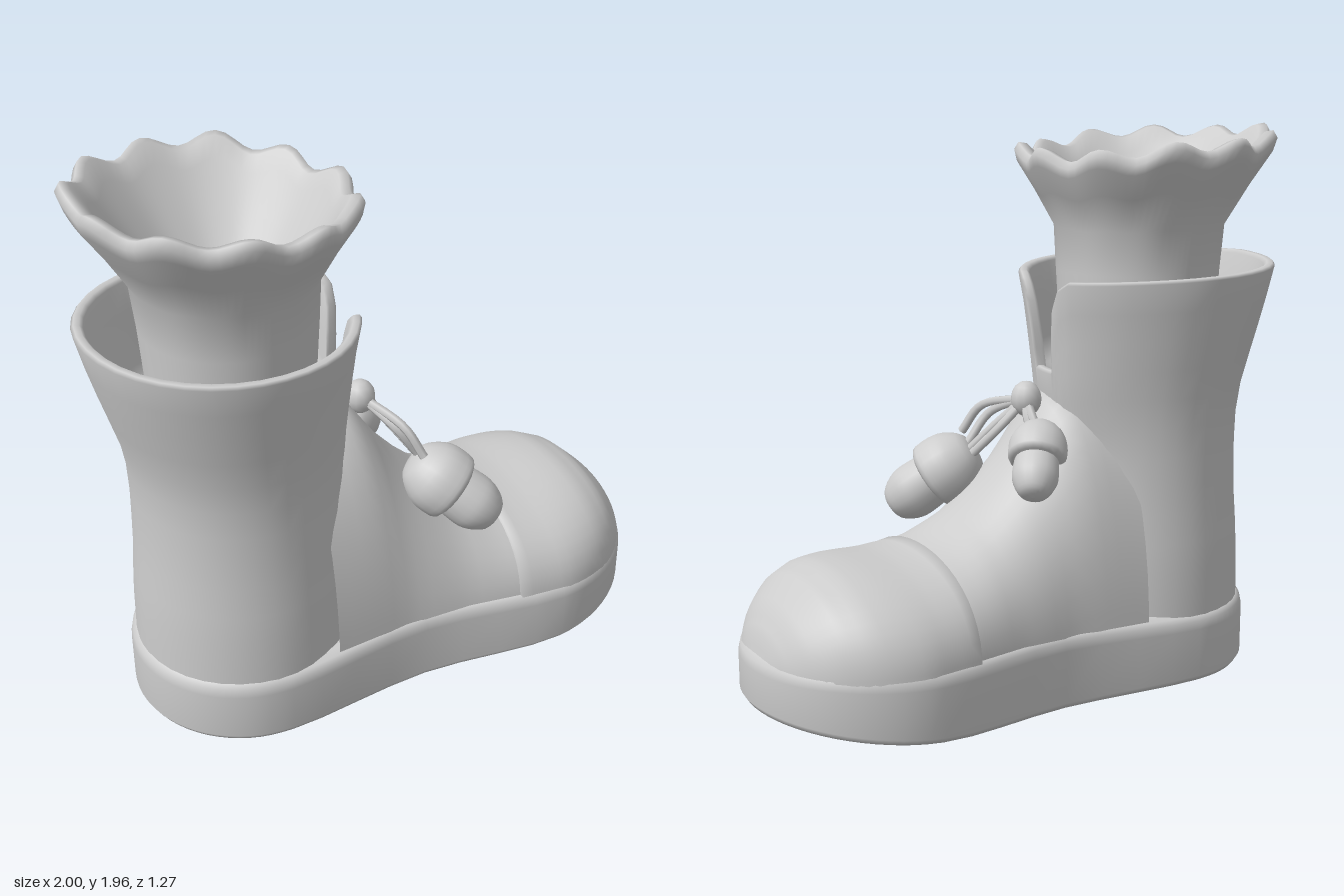
import * as THREE from 'three';

const clay = new THREE.MeshStandardMaterial({ color: 0xcccccc, side: THREE.DoubleSide });
clay.name = 'pale grey clay';

const V = (x, y, z) => new THREE.Vector3(x, y, z);
const range = (n, f) => Array.from({ length: n }, (_, i) => f(i));

// Piecewise linear lookup in a short [x, value] table
function at(table, x) {
  if (x <= table[0][0]) return table[0][1];
  for (let i = 1; i < table.length; i++) {
    const [x0, v0] = table[i - 1], [x1, v1] = table[i];
    if (x <= x1) return v0 + (v1 - v0) * (x - x0) / (x1 - x0);
  }
  return table[table.length - 1][1];
}

// Smooth skin over a list of cross-sections
function loft(name, rings, closed = true) {
  const n = rings[0].length, index = [];
  const geo = new THREE.BufferGeometry().setFromPoints(rings.flat());
  for (let r = 0; r < rings.length - 1; r++) {
    for (let i = 0; i < (closed ? n : n - 1); i++) {
      const a = r * n + i, c = r * n + (i + 1) % n;
      index.push(a, a + n, c, c, a + n, c + n);
    }
  }
  geo.setIndex(index);
  geo.computeVertexNormals();
  return mesh(name, geo);
}

function mesh(name, geo) {
  const m = new THREE.Mesh(geo, clay);
  m.name = name;
  return m;
}

// Sole: round heel, pinched waist, wide round toe that lifts off the ground
function makeSole() {
  const pts = [];
  const arc = (cx, r, from, to, n) => range(n, i => {
    const a = from + (to - from) * i / (n - 1);
    pts.push(V(cx + r * Math.cos(a), 0, r * Math.sin(a)));
  });
  const H = Math.PI / 2;
  arc(1.08, 0.47, 0, H, 5);
  pts.push(V(0.55, 0, 0.375));
  arc(0, 0.41, H, 3 * H, 9);
  pts.push(V(0.55, 0, -0.375));
  arc(1.08, 0.47, -H, -H / 4, 4);
  const outline = new THREE.CatmullRomCurve3(pts, true).getPoints(80).slice(0, -1);
  const bottom = u => 0.1 * Math.pow(Math.max(0, u - 0.3) / 1.25, 2);
  const top = u => 0.225 + 0.045 * THREE.MathUtils.clamp(u / 1.4, 0, 1);
  const ring = (inset, height) => outline.map(p => {
    const c = THREE.MathUtils.clamp(p.x, 0, 1.08);
    const u = p.x + (c - p.x) * inset;
    return V(u, height(u), p.z * (1 - inset));
  });
  return loft('sole', [
    ring(1, bottom), ring(0.5, bottom), ring(0.03, bottom),
    ring(0, u => bottom(u) + 0.02), ring(0, u => top(u) - 0.03),
    ring(0.015, top), ring(0.05, u => top(u) + 0.015), ring(0.12, u => top(u) + 0.025), ring(1, top),
  ]);
}

// Foot: arched sections along the boot's length
const footTop = [[0.2, 1.06], [0.38, 1.06], [0.43, 1.01], [0.475, 0.94], [0.53, 0.86], [0.63, 0.75],
  [0.74, 0.65], [0.86, 0.58], [0.95, 0.55], [1.05, 0.54], [1.2, 0.545], [1.28, 0.54], [1.375, 0.505],
  [1.46, 0.425], [1.51, 0.34], [1.54, 0.23]];
const footWidth = [[0.2, 0.375], [0.5, 0.36], [0.72, 0.385], [0.95, 0.435], [1.1, 0.455]];

function makeFoot(name, from, to, count, grow) {
  const rings = range(count, i => {
    const u = from + (to - from) * Math.sin(i / (count - 1) * Math.PI / 2);
    const w = u < 1.1 ? at(footWidth, u) : 0.455 * Math.sqrt(Math.max(0, 1 - ((u - 1.1) / 0.44) ** 2));
    const h = at(footTop, u) - 0.2 + grow;
    const p = 1 - 0.27 * THREE.MathUtils.smoothstep(u, 0.6, 1);
    return range(25, j => {
      const a = Math.PI * j / 24;
      return V(u, 0.2 + h * Math.pow(Math.max(0, Math.sin(a)), p), (w + grow) * Math.cos(a));
    });
  });
  if (name === 'toeCap') {           // folded back edge
    rings.unshift(rings[0].map(v => V(v.x - 0.01, 0.2 + (v.y - 0.2) * 0.93, v.z * 0.96)));
  }
  return loft(name, rings, false);
}

// Shaft: flared double wall with a rounded front slit
function makeShaft() {
  const slit = [[0.16, 1.12], [0.18, 1.25], [0.215, 1.35], [0.28, 1.415], [0.38, 1.445], [1.5, 1.465], [Math.PI, 1.49]];
  const half = [0.08, 0.145, 0.16, 0.17, 0.18, 0.195, 0.215, 0.245, 0.28, 0.33, 0.38,
    ...range(16, i => 0.49 + i * 0.17)];
  const angles = [0, ...half, Math.PI, ...half.slice().reverse().map(a => -a)];
  const radius = [[0.2, 0.39], [0.45, 0.385], [0.65, 0.37], [0.9, 0.365], [1.05, 0.38], [1.2, 0.41], [1.35, 0.44], [1.48, 0.468]];
  const ring = (height, inset) => angles.map(a => {
    const y = height(at(slit, Math.abs(a)));
    const bulge = 0.045 * Math.pow(Math.max(0, Math.cos(a + 0.3)), 8) * THREE.MathUtils.smoothstep(y, 0.7, 1.1);
    const r = at(radius, y) + bulge - inset;
    const shift = -0.035 * THREE.MathUtils.smoothstep(y, 0.9, 1.45);
    return V(shift + r * Math.cos(a), y, r * Math.sin(a));
  });
  return loft('shaft', [
    ...range(13, i => ring(t => 0.2 + (t - 0.21) * i / 12, 0)),
    ring(t => t, 0.01), ring(t => t, 0.03),
    ...range(5, i => ring(t => t - 0.012 - (t - 1.1) * i / 4, 0.04)),
    ring(() => 1.08, 0.16),
  ]);
}

// Sock: straight tube opening into a scalloped frill with a funnel inside
function makeSock() {
  const profile = [[0.27, 1.05, 0], [0.295, 1.45, 0], [0.305, 1.61, 0.15], [0.38, 1.74, 0.5], [0.445, 1.84, 0.85],
    [0.455, 1.88, 1], [0.44, 1.905, 1], [0.41, 1.9, 1], [0.37, 1.84, 0.8],
    [0.27, 1.7, 0.5], [0.14, 1.53, 0.2], [0.001, 1.36, 0]];
  return loft('sock', profile.map(([r, y, f]) => range(88, i => {
    const a = i / 88 * Math.PI * 2;
    const s = Math.cos(11 * a) + 0.35 * Math.sin(4 * a);
    const R = r + 0.013 * f * s;
    return V(-0.03 * f + R * Math.cos(a), y + f * (0.02 * s - 0.035 * Math.cos(a)), R * Math.sin(a));
  })));
}

// Acorn-shaped charm hanging along a direction
function makeCharm(name, position, direction, scale) {
  const g = new THREE.Group();
  g.name = name;
  const lathe = (part, pts) => g.add(mesh(part, new THREE.LatheGeometry(
    new THREE.SplineCurve(pts.map(p => new THREE.Vector2(...p))).getPoints(16)
      .map(p => p.setX(Math.max(0, p.x))), 20)));
  lathe('charmCap', [[0, -0.12], [0.07, -0.105], [0.12, -0.04], [0.13, 0.03], [0.112, 0.075], [0, 0.085]]);
  lathe('charmNut', [[0.09, 0.03], [0.1, 0.11], [0.097, 0.18], [0.06, 0.245], [0, 0.262]]);
  g.position.copy(position);
  g.quaternion.setFromUnitVectors(V(0, 1, 0), direction.normalize());
  g.scale.setScalar(scale);
  return g;
}

export function createModel() {
  const model = new THREE.Group();
  model.name = 'boot';

  const boot = new THREE.Group();
  boot.name = 'bootBody';
  boot.position.set(-0.5, 0, -0.165);
  boot.rotation.y = -0.31;
  boot.add(makeSole(), makeFoot('instep', 0.2, 1.1, 26, -0.003),
    makeFoot('toeCap', 0.92, 1.5399, 26, 0.006), makeShaft(), makeSock());
  model.add(boot);

  // Lace knot, strands and the two charms
  const knotAt = V(-0.045, 1.02, -0.02);
  const knot = mesh('laceKnot', new THREE.SphereGeometry(0.055, 12, 8));
  knot.position.copy(knotAt);
  knot.scale.y = 1.15;
  model.add(knot);
  const strands = [
    [V(-0.03, 0.95, 0.14), V(0.03, 0.84, 0.19)],
    [V(0.0, 0.94, 0.06), V(0.05, 0.82, 0.17)],
    [V(-0.03, 0.97, 0.18), V(-0.005, 0.87, 0.25)],
    [V(0.03, 0.92, 0.04), V(0.07, 0.82, 0.13)],
    [V(0.0, 0.97, -0.06), V(0.02, 0.9, -0.11)],
    [V(0.01, 0.96, -0.1), V(0.03, 0.89, -0.16)],
  ];
  for (const pts of strands) {
    const curve = new THREE.CatmullRomCurve3([knotAt, ...pts]);
    model.add(mesh('laceStrand', new THREE.TubeGeometry(curve, 12, 0.016, 6)));
  }
  model.add(
    makeCharm('rightCharm', V(0.07, 0.75, 0.25), V(0.42, -0.52, 0.58), 1),
    makeCharm('leftCharm', V(0.015, 0.87, -0.125), V(0.52, -0.55, -0.33), 0.8),
  );
  return model;
}
